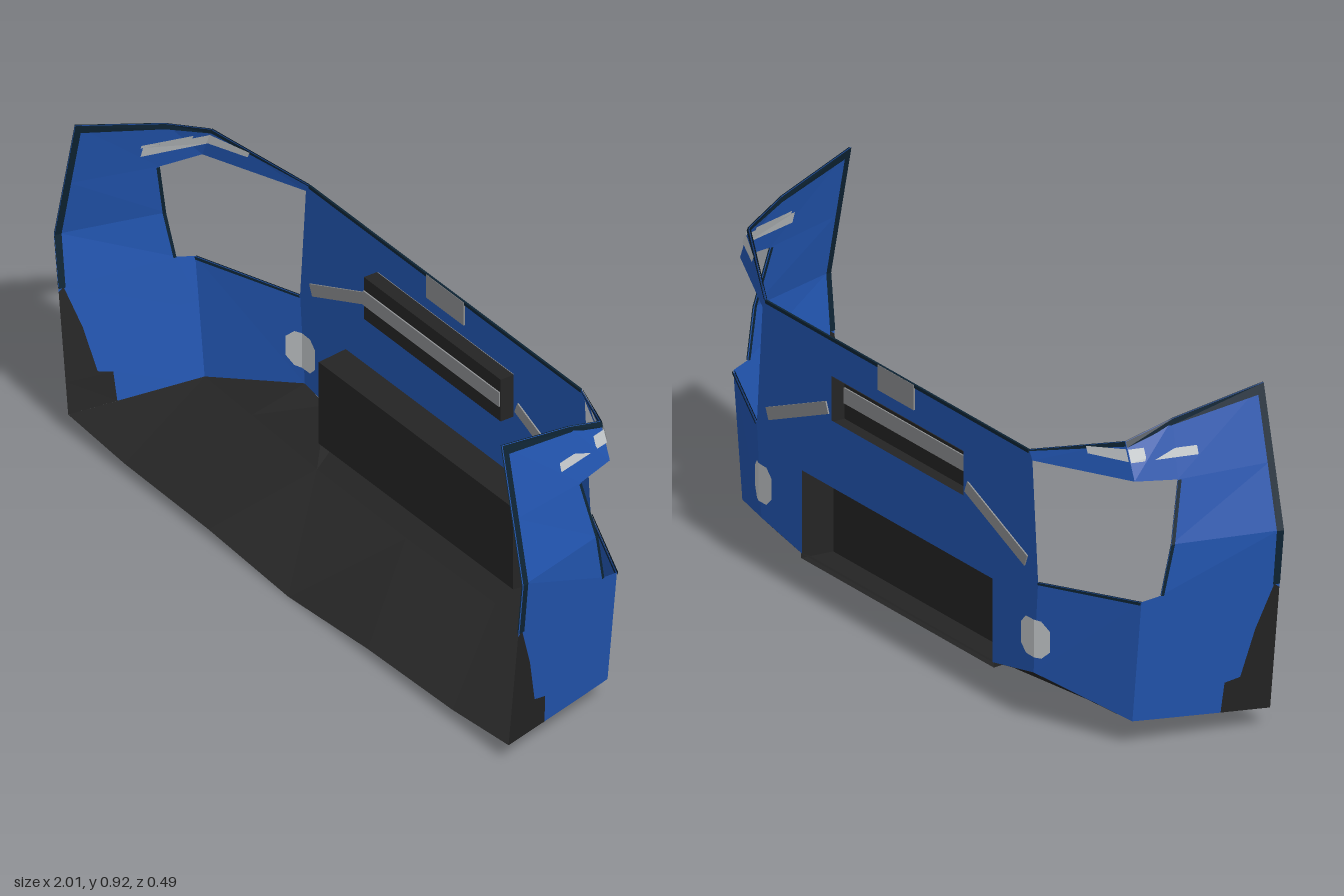
import * as THREE from 'three';

const mat = (name, color) => {
  const m = new THREE.MeshStandardMaterial({ color, side: THREE.DoubleSide });
  m.name = name;
  return m;
};

// Faceted sheet through rows of points, optionally shifted by a vector
function sheet(rows, shift = [0, 0, 0]) {
  const pos = [];
  const add = (p) => pos.push(p[0] + shift[0], p[1] + shift[1], p[2] + shift[2]);
  for (let i = 0; i < rows.length - 1; i++) {
    for (let j = 0; j < rows[i].length - 1; j++) {
      const a = rows[i][j], b = rows[i][j + 1], c = rows[i + 1][j + 1], d = rows[i + 1][j];
      [a, b, c, a, c, d].forEach(add);
    }
  }
  const g = new THREE.BufferGeometry();
  g.setAttribute('position', new THREE.Float32BufferAttribute(pos, 3));
  g.computeVertexNormals();
  return g;
}

const lerp = THREE.MathUtils.lerp;
// Piecewise linear lookup in [y, x] pairs
function along(table, y) {
  if (y <= table[0][0]) return table[0][1];
  for (let i = 1; i < table.length; i++) {
    const [y0, x0] = table[i - 1], [y1, x1] = table[i];
    if (y <= y1) return lerp(x0, x1, (y - y0) / (y1 - y0));
  }
  return table[table.length - 1][1];
}

// Side wing: x depends on height and depth
const creaseX = [[0.07, 0.86], [0.405, 0.9], [0.55, 0.9], [0.72, 0.87], [0.815, 0.83]];
const rimX = [[0.05, 0.94], [0.55, 1.0], [0.92, 0.91]];
const side = ([z, y]) => [lerp(along(creaseX, y), along(rimX, y), (z + 0.12) / 0.36), y, z];
const sideRows = (rows) => rows.map((r) => r.map(side));

// Corner panel edges: inner (flat panel) and outer (crease)
const A = [[0.6, 0.14, -0.24], [0.62, 0.39, -0.24], [0.595, 0.71, -0.24], [0.58, 0.735, -0.24]];
const B = [[0.86, 0.07], [0.9, 0.405], [0.87, 0.72], [0.83, 0.815]].map(([x, y]) => [x, y, -0.12]);
const mix = (p, q, t) => p.map((v, i) => lerp(v, q[i], t));
// u runs crease to inner edge, v runs from level k up to level k + 1
const corner = (k, u, v) => mix(mix(B[k], B[k + 1], v), mix(A[k], A[k + 1], v), u);

export function createModel() {
  const root = new THREE.Group();
  root.name = 'bumperShell';
  const blue = mat('bluePaint', 0x2255b0);
  const dark = mat('blackPlastic', 0x242424);
  const navy = mat('darkEdge', 0x0e2434);
  const lens = mat('lightLens', 0xc2c6c9);
  const grey = mat('greyTrim', 0x8c8e90);

  const add = (name, geo, material, parent = root) => {
    const m = new THREE.Mesh(geo, material);
    m.name = name;
    parent.add(m);
    return m;
  };

  // Flat panel with a notch for the grille and a slot
  const outline = [[0.6, 0.14], [0.62, 0.39], [0.595, 0.71], [0.58, 0.735], [-0.58, 0.735], [-0.595, 0.71],
    [-0.62, 0.39], [-0.6, 0.14], [-0.42, 0.105], [-0.42, 0.33], [0.42, 0.33], [0.42, 0.105]];
  const panel = new THREE.Shape(outline.map((p) => new THREE.Vector2(...p)));
  panel.holes.push(new THREE.Path([[-0.29, 0.51], [-0.29, 0.63], [0.29, 0.63], [0.29, 0.51]]
    .map((p) => new THREE.Vector2(...p))));
  add('centrePanel', new THREE.ShapeGeometry(panel).translate(0, 0, -0.24), blue);

  // Recessed boxes, open at -z
  const recess = (name, w, w2, y0, y1, z) => {
    const ring = (hw, d) => [[-hw, y0, d], [hw, y0, d], [hw, y1, d], [-hw, y1, d], [-hw, y0, d]];
    const g = new THREE.Group();
    g.name = name;
    root.add(g);
    add(name + 'Walls', sheet([ring(w, -0.24), ring(w2, z)]), dark, g);
    add(name + 'Floor', new THREE.PlaneGeometry(w2 * 2, y1 - y0).translate(0, (y0 + y1) / 2, z), dark, g);
  };
  recess('grille', 0.425, 0.415, 0.092, 0.332, -0.15);
  recess('slot', 0.292, 0.292, 0.505, 0.628, -0.2);
  add('slotBar', new THREE.BoxGeometry(0.58, 0.042, 0.008).translate(0, 0.569, -0.2), grey);

  // Centre tag and dark top lip
  add('centreTag', new THREE.BoxGeometry(0.16, 0.068, 0.008).translate(0.003, 0.7, -0.24), grey);
  add('topLip', new THREE.BoxGeometry(1.16, 0.009, 0.006).translate(0, 0.7305, -0.24), navy);

  // Floor tray
  const half = [
    [[0.94, 0.05], [0.7, 0.03], [0.34, 0.022], [0, 0]],
    [[0.86, 0.07], [0.66, 0.06], [0.38, 0.045], [0, 0.04]],
    [[0.6, 0.14], [0.51, 0.122], [0.42, 0.105], [0, 0.105]],
  ];
  const zs = [0.24, -0.12, -0.24];
  add('floorTray', sheet(half.map((r, i) => [
    ...r.map(([x, y]) => [x, y, zs[i]]),
    ...r.slice(0, -1).reverse().map(([x, y]) => [-x, y, zs[i]]),
  ])), dark);

  // Both ends, mirrored
  for (const s of [1, -1]) {
    const end = new THREE.Group();
    end.name = s > 0 ? 'leftEnd' : 'rightEnd';
    root.add(end);
    const put = (name, rows, material, shift) => {
      const flip = rows.map((r) => r.map(([x, y, z]) => [s * x, y, z]));
      add(name, sheet(flip, shift && [s * shift[0], shift[1], shift[2]]), material, end);
    };
    // Painted details lie on both faces of the shell
    const paint = (name, rows, material, [dx, dz]) => {
      put(name + 'Outer', rows, material, [dx, 0, dz]);
      put(name + 'Inner', rows, material, [-dx, 0, -dz]);
    };
    const onSide = [0.003, -0.001], onCorner = [0.0015, -0.003];

    // Corner panel below and above the lamp opening
    put('lowerCorner', [[A[0], B[0]], [A[1], B[1]]], blue);
    put('upperCorner', [[A[2], B[2]], [A[3], B[3]]], blue);

    // Side wing with black lower edge
    const edge = [[0.11, 0.057, 0.05], [0.115, 0.14, 0.14], [0.155, 0.15, 0.15], [0.185, 0.28, 0.28], [0.226, 0.4, 0.39]];
    put('lowerWing', sideRows(edge.map(([z, y], i) => {
      const y0 = [0.07, 0.14, 0.15, 0.28, 0.405][i], y1 = [0.067, 0.14, 0.15, 0.28, 0.415][i];
      return [[-0.12, y0], [-0.07, y1], [z, y]];
    })), blue);
    put('wingBase', sideRows(edge.map(([z, y, yr]) => [[z, y], [0.24, yr]])), dark);
    put('middleWing', sideRows([
      [[-0.07, 0.415], [0.226, 0.4], [0.24, 0.39]],
      [[-0.045, 0.55], [0.226, 0.55], [0.24, 0.55]],
      [[-0.01, 0.71], [0.226, 0.72], [0.24, 0.72]],
    ]), blue);
    put('upperWing', sideRows([
      [[-0.12, 0.72], [-0.01, 0.71], [0.24, 0.72]],
      [[-0.12, 0.815], [0, 0.86], [0.24, 0.918]],
    ]), blue);

    // Dark edging on wing and lamp opening
    paint('rearEdge', sideRows([0.4, 0.55, 0.72, 0.9].map((y) => [[0.222, y], [0.24, y]])), navy, onSide);
    paint('topEdge', sideRows([
      [[-0.12, 0.801], [0, 0.844], [0.24, 0.893]],
      [[-0.12, 0.815], [0, 0.86], [0.24, 0.918]],
    ]), navy, onSide);
    paint('openingEdge', sideRows([
      [[-0.07, 0.415], [-0.062, 0.415]], [[-0.045, 0.55], [-0.036, 0.55]], [[-0.01, 0.71], [-0.001, 0.71]],
    ]), navy, onSide);
    paint('cornerTopEdge', [[0, 1].map((u) => corner(2, u, 0.88)), [0, 1].map((u) => corner(2, u, 1))], navy, onCorner);
    paint('cornerOpeningEdge', [[0, 1].map((u) => corner(0, u, 0.975)), [0, 1].map((u) => corner(0, u, 1))], navy, onCorner);

    // Marker strip wrapping from wing to corner
    paint('sideMarker', sideRows([[[-0.12, 0.765], [0.052, 0.765]], [[-0.12, 0.797], [0.052, 0.797]]]), lens, [0.005, -0.001]);
    paint('cornerMarker', [[corner(2, 0, 0.5), corner(2, 0.4, 0.72)], [corner(2, 0, 0.82), corner(2, 0.4, 0.98)]],
      lens, [0.002, -0.005]);

    // Round lamp folded over the corner
    const lamp = [[0.55, 0.028], [0.572, 0.05], [0.607, 0.051], [0.627, 0.05], [0.65, 0.028]];
    paint('fogLamp', [-1, 1].map((k) => lamp.map(([x, h]) =>
      [x, 0.235 + k * h, -0.24 + Math.max(0, x - 0.607) * 0.444])), lens, [0, -0.004]);

    // Slanted trim strip
    const strip = add('slantedTrim', new THREE.BoxGeometry(0.285, 0.033, 0.008), grey, end);
    strip.position.set(s * 0.438, 0.486, -0.24);
    strip.rotation.z = -s * 0.39;
  }
  return root;
}
